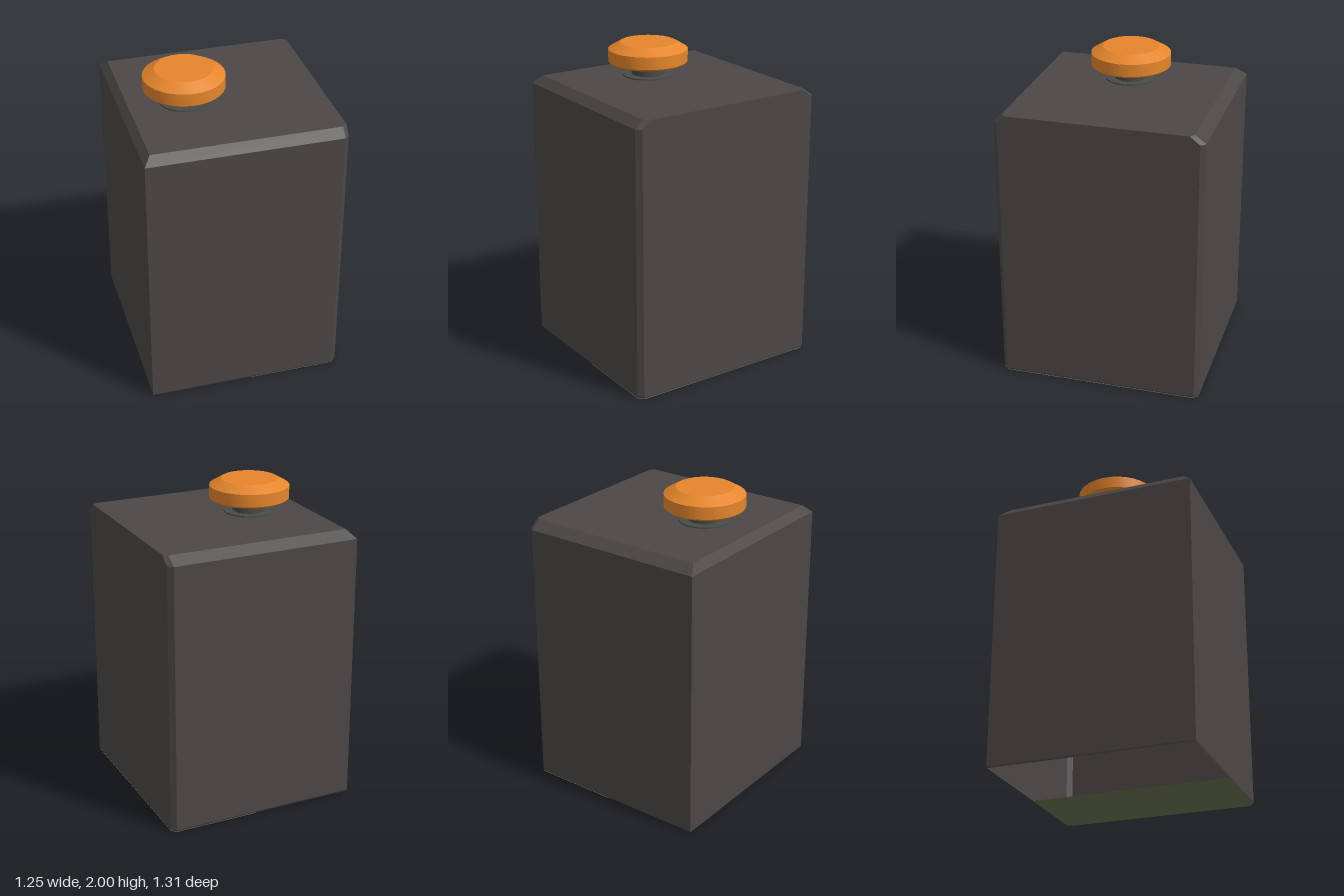
import * as THREE from 'three';
import { toCreasedNormals } from 'three/addons/utils/BufferGeometryUtils.js';

const material = (name, color, side = THREE.FrontSide) => {
  const m = new THREE.MeshStandardMaterial({ color, side });
  m.name = name;
  return m;
};

// Flat polygon bands between equal-length loops of [x, y, z], with a fan cap on the last loop
function skin(loops) {
  const pos = [];
  const tri = (a, b, c) => pos.push(...a, ...b, ...c);
  const n = loops[0].length;
  for (let k = 0; k < loops.length - 1; k++) {
    for (let i = 0; i < n; i++) {
      const j = (i + 1) % n, a = loops[k], b = loops[k + 1];
      tri(a[i], a[j], b[j]);
      tri(a[i], b[j], b[i]);
    }
  }
  const top = loops[loops.length - 1];
  for (let i = 1; i < n - 1; i++) tri(top[0], top[i], top[i + 1]);
  const g = new THREE.BufferGeometry();
  g.setAttribute('position', new THREE.Float32BufferAttribute(pos, 3));
  g.computeVertexNormals();
  return g;
}

// Outline with the two +x corners cut, counter-clockwise seen from above
const outline = (y, left, right, front, back, cutX, cutZ) => [
  [left, y, front], [right - cutX, y, front], [right, y, front - cutZ],
  [right, y, back + cutZ], [right - cutX, y, back], [left, y, back],
];

function lathe(points, segments) {
  const g = new THREE.LatheGeometry(points.map(([r, y]) => new THREE.Vector2(r, y)), segments);
  return toCreasedNormals(g, 0.45);
}

export function createModel() {
  const group = new THREE.Group();
  const grey = material('dark warm grey', 0x4c4747, THREE.DoubleSide);
  const olive = material('olive', 0x6c7352, THREE.DoubleSide);
  const steel = material('neck grey', 0x494b47);
  const orange = material('orange', 0xe6862c);

  const add = (name, geometry, mat, x = 0, z = 0) => {
    const mesh = new THREE.Mesh(geometry, mat);
    mesh.name = name;
    mesh.position.set(x, 0, z);
    group.add(mesh);
  };

  // Hollow body with bevelled top edges
  add('body', skin([
    outline(0.003, -0.621, 0.621, 0.648, -0.648, 0.03, 0.03),
    outline(0.014, -0.623, 0.623, 0.652, -0.654, 0.03, 0.03),
    outline(1.735, -0.623, 0.623, 0.652, -0.654, 0.03, 0.03),
    outline(1.785, -0.58, 0.623, 0.597, -0.585, 0.03, 0.025),
  ]), grey);

  // Floor covering only the +x half; the rest is open
  add('floorPanel', skin([outline(0, 0.04, 0.621, 0.648, -0.648, 0.03, 0.03)]), olive);

  // Off-centre plunger: flange, neck and cap
  const cx = -0.228, cz = 0.023;
  add('neckFlange', lathe([[0.162, 1.78], [0.162, 1.793], [0.1, 1.793]], 24), steel, cx, cz);
  add('neck', lathe([[0.106, 1.785], [0.106, 1.88]], 24), steel, cx, cz);
  add('cap', lathe([
    [0, 1.866], [0.24, 1.866], [0.254, 1.878], [0.254, 1.957], [0.18, 2], [0, 2],
  ], 32), orange, cx, cz);

  return group;
}
